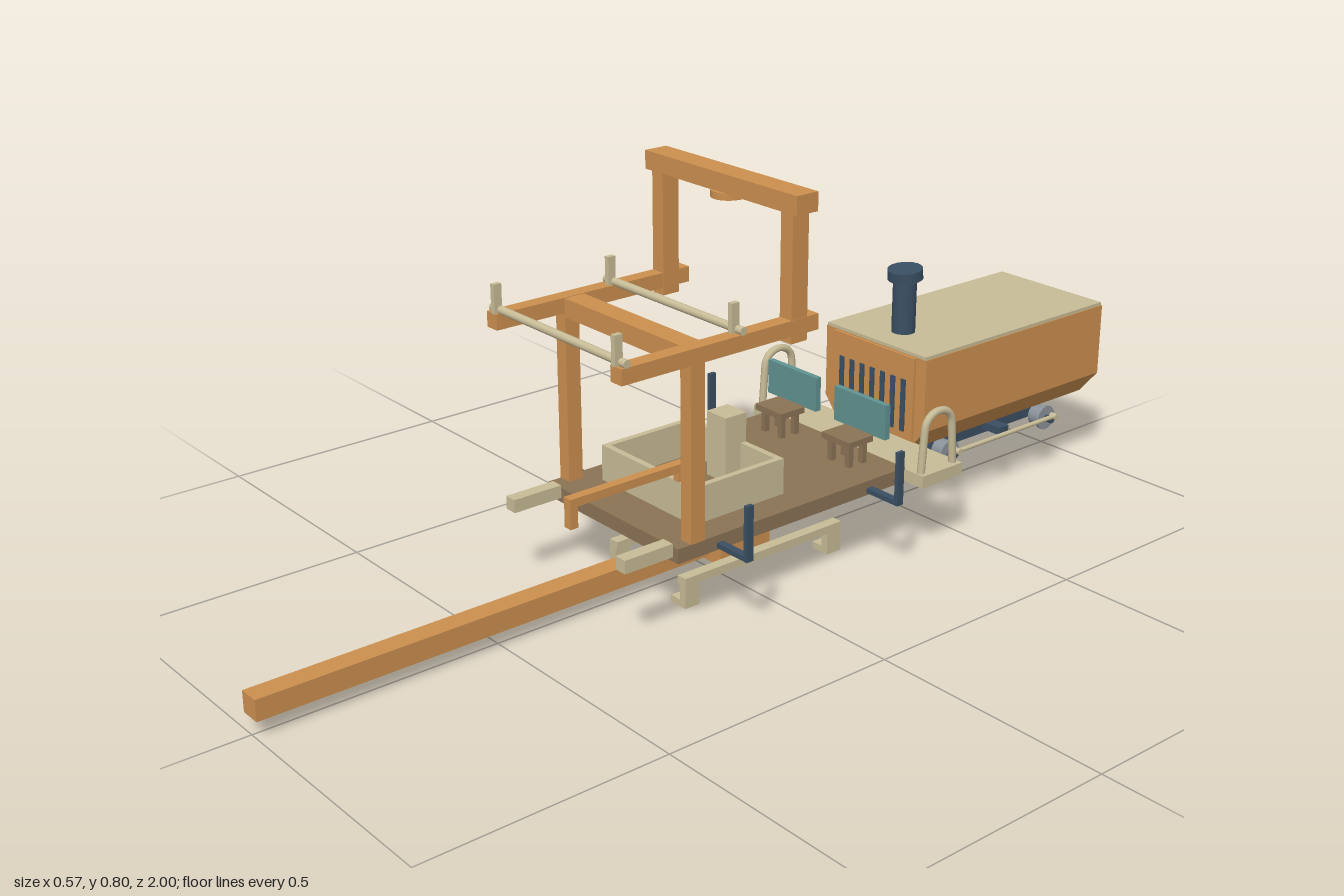
import * as THREE from 'three';

const mat = (name, color) => {
  const m = new THREE.MeshStandardMaterial({ color });
  m.name = name;
  return m;
};

export function createModel() {
  const orange = mat('orange wood', 0xcc8f4f);
  const beige = mat('beige', 0xc8bc97);
  const navy = mat('dark blue', 0x3a4f63);
  const teal = mat('teal', 0x5f9291);
  const brown = mat('brown deck', 0x8b7355);
  const grey = mat('wheel grey', 0x8b929b);

  const root = new THREE.Group();
  root.name = 'railVehicle';

  const add = (name, geometry, material, parent = root) => {
    const mesh = new THREE.Mesh(geometry, material);
    mesh.name = name;
    parent.add(mesh);
    return mesh;
  };
  // Box given by its limits on each axis
  const box = (name, m, x0, x1, y0, y1, z0, z1, parent) => {
    const b = add(name, new THREE.BoxGeometry(x1 - x0, y1 - y0, z1 - z0), m, parent);
    b.position.set((x0 + x1) / 2, (y0 + y1) / 2, (z0 + z1) / 2);
    return b;
  };
  // The same box on both sides of x = 0
  const pair = (name, m, x0, x1, ...rest) => {
    box(name + 'Left', m, x0, x1, ...rest);
    box(name + 'Right', m, -x1, -x0, ...rest);
  };
  const cyl = (name, m, r, h, x, y, z, axis = 'y', parent = root, sides = 20) => {
    const g = new THREE.CylinderGeometry(r, r, h, sides);
    if (axis === 'x') g.rotateZ(Math.PI / 2);
    if (axis === 'z') g.rotateX(Math.PI / 2);
    const c = add(name, g, m, parent);
    c.position.set(x, y, z);
    return c;
  };

  // Engine hood with chamfered lower edges
  const hull = new THREE.Shape([
    [-0.1, 0.156], [0.1, 0.156], [0.145, 0.21], [0.145, 0.366], [-0.145, 0.366], [-0.145, 0.21],
  ].map(([x, y]) => new THREE.Vector2(x, y)));
  const hullGeo = new THREE.ExtrudeGeometry(hull, { depth: 0.545, bevelEnabled: false });
  hullGeo.translate(0, 0, -1);
  add('engineHood', hullGeo, orange);
  box('hoodLid', beige, -0.143, 0.143, 0.366, 0.373, -0.998, -0.455);
  box('grillePanel', orange, -0.117, 0.117, 0.185, 0.364, -0.455, -0.449);
  for (let i = -3; i <= 3; i++) {
    box('grilleSlot', navy, i * 0.03 - 0.006, i * 0.03 + 0.006, 0.2, 0.313, -0.449, -0.446);
  }

  // Exhaust stack
  cyl('stack', navy, 0.025, 0.125, 0, 0.433, -0.535);
  const cap = cyl('stackCap', navy, 0.037, 0.022, 0, 0.499, -0.535);
  cap.rotation.x = 0.09;

  // Deck, cross platform and front forks
  box('deck', brown, -0.2, 0.2, 0.152, 0.182, -0.347, 0.235);
  box('crossPlatform', beige, -0.252, 0.252, 0.154, 0.18, -0.457, -0.345);
  pair('frontFork', beige, 0.158, 0.185, 0.161, 0.188, 0.235, 0.345);

  // Hoop handrails on the platform
  for (const s of [1, -1]) {
    const path = new THREE.CurvePath();
    const v = (y, z) => new THREE.Vector3(s * 0.236, y, z);
    path.add(new THREE.LineCurve3(v(0.175, -0.355), v(0.27, -0.362)));
    path.add(new THREE.CubicBezierCurve3(v(0.27, -0.362), v(0.312, -0.366), v(0.312, -0.434), v(0.27, -0.438)));
    path.add(new THREE.LineCurve3(v(0.27, -0.438), v(0.175, -0.445)));
    add('handrail', new THREE.TubeGeometry(path, 30, 0.008, 8), beige);
  }

  // Open tray on the deck
  pair('traySide', beige, 0.126, 0.139, 0.182, 0.256, -0.077, 0.149);
  box('trayFront', beige, -0.126, 0.126, 0.182, 0.256, 0.136, 0.149);
  box('trayBack', beige, -0.126, 0.126, 0.182, 0.256, -0.077, -0.064);

  // Centre mast, pivot block and long boom
  box('mast', beige, -0.028, 0.028, 0.08, 0.317, -0.078, -0.025);
  box('pivotBlock', orange, -0.058, 0.058, 0.024, 0.085, -0.115, 0.012);
  box('boom', orange, -0.022, 0.022, 0.034, 0.076, 0.012, 1);

  // Lower clamp rails with feet
  pair('clampRail', beige, 0.094, 0.117, 0.046, 0.063, -0.255, 0.15);
  for (const [z0, z1] of [[0.115, 0.15], [-0.255, -0.218]]) {
    pair('clampLeg', beige, 0.1, 0.117, 0.0, 0.046, z0, z1);
    pair('clampFoot', beige, 0.074, 0.1, 0.0, 0.014, z0, z1);
  }

  // Gantry: lower posts, rails, rear uprights and top beam
  pair('gantryPost', orange, 0.172, 0.201, 0.182, 0.532, 0.172, 0.205);
  pair('gantryRail', orange, 0.172, 0.203, 0.53, 0.561, -0.1, 0.36);
  box('gantryCrossBeam', orange, -0.172, 0.172, 0.522, 0.56, 0.16, 0.205);
  pair('gantryUpright', orange, 0.17, 0.202, 0.515, 0.763, -0.072, -0.033);
  box('topBeam', orange, -0.217, 0.217, 0.763, 0.8, -0.08, -0.028);
  cyl('hoistDisc', orange, 0.035, 0.014, 0, 0.757, -0.054);

  // Cross tubes with upright pins on the rails
  for (const z of [0.347, 0.083]) {
    cyl('crossTube', beige, 0.008, 0.406, 0, 0.567, z, 'x');
    pair('tubePin', beige, 0.176, 0.187, 0.56, 0.618, z - 0.003, z + 0.014);
  }

  // Control arm above the tray
  box('controlArm', orange, 0.08, 0.1, 0.276, 0.293, 0.133, 0.4);
  box('controlArmHook', orange, 0.081, 0.099, 0.234, 0.276, 0.383, 0.4);
  box('controlArmTail', orange, 0.082, 0.098, 0.256, 0.276, 0.135, 0.149);

  // L-shaped side stakes
  for (const z of [0.135, -0.25]) {
    pair('stakeArm', navy, 0.19, 0.284, 0.157, 0.167, z - 0.008, z + 0.008);
    pair('stakePost', navy, 0.275, 0.284, 0.167, 0.268, z - 0.008, z + 0.008);
  }

  // Two seats on four legs
  for (const s of [1, -1]) {
    const seat = new THREE.Group();
    seat.name = 'seat';
    seat.position.x = s * 0.1;
    root.add(seat);
    box('seatPad', brown, -0.04, 0.04, 0.228, 0.241, -0.315, -0.25, seat);
    box('seatBack', teal, -0.073, 0.073, 0.24, 0.313, -0.328, -0.315, seat);
    for (const x of [-0.025, 0.025]) for (const z of [-0.302, -0.265]) {
      box('seatLeg', brown, x - 0.006, x + 0.006, 0.182, 0.228, z - 0.006, z + 0.006, seat);
    }
  }

  // Wheel trucks
  const truck = (zc, half) => {
    const t = new THREE.Group();
    t.name = 'wheelTruck';
    t.position.z = zc;
    root.add(t);
    for (const s of [1, -1]) {
      box('truckSill', navy, s * 0.06 - 0.011, s * 0.06 + 0.011, 0.118, 0.14, -half - 0.02, half + 0.02, t);
      cyl('sideRod', beige, 0.005, half * 2, s * 0.129, 0.132, 0, 'z', t, 10);
      for (const e of [1, -1]) {
        cyl('wheel', grey, 0.023, 0.032, s * 0.091, 0.122, e * half, 'x', t, 24);
        cyl('wheelFlange', grey, 0.027, 0.007, s * 0.104, 0.122, e * half, 'x', t, 24);
        cyl('rodPin', beige, 0.007, 0.016, s * 0.129, 0.132, e * half, 'x', t, 12);
      }
    }
    for (const e of [1, -1]) cyl('axle', navy, 0.008, 0.25, 0, 0.122, e * half, 'x', t, 12);
    box('bolster', navy, -0.12, 0.12, 0.128, 0.145, -0.014, 0.014, t);
    box('truckPivot', navy, -0.03, 0.03, 0.14, 0.157, -0.018, 0.018, t);
  };
  truck(-0.215, 0.08);
  truck(-0.73, 0.152);

  return root;
}
